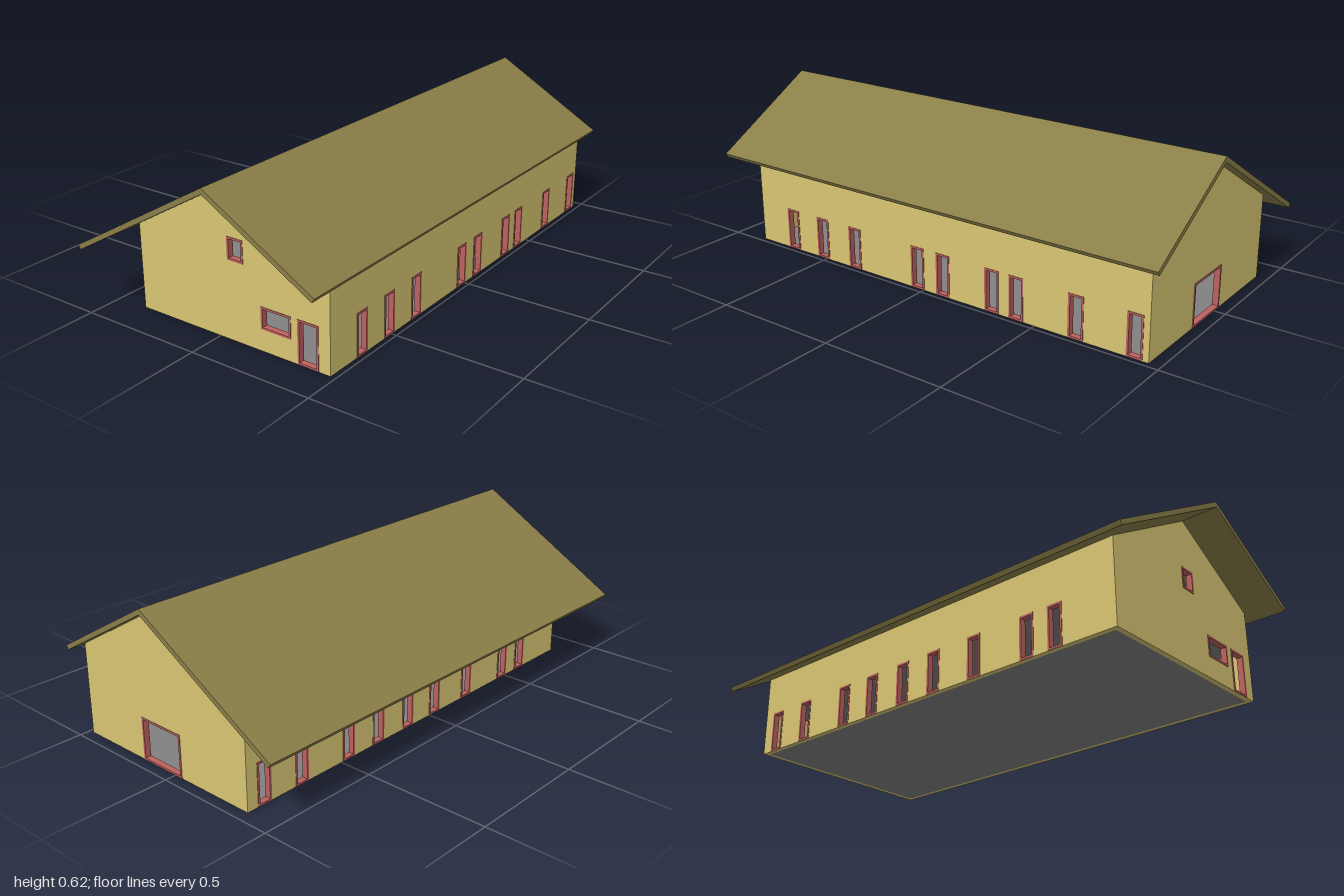
import * as THREE from 'three';

const T = 0.02; // wall thickness
const X0 = -0.37, X1 = 0.48, Z0 = -0.955, Z1 = 0.855; // outer faces of the walls
const RIDGE_X = 0.08, RIDGE_Y = 0.595, PITCH = 0.578;

const mat = (color) => new THREE.MeshStandardMaterial({ color, side: THREE.DoubleSide });
const wallMat = mat(0xd9c673);
const roofMat = mat(0x8a7e48);
const frameMat = mat(0xbd625f);
const floorMat = mat(0x808080);

const roofUnder = (x) => RIDGE_Y - PITCH * Math.abs(x - RIDGE_X);

const polygon = (points) => new THREE.Shape(points.map(([x, y]) => new THREE.Vector2(x, y)));

function rectPath([u0, u1, v0, v1]) {
  return polygon([[u0, v0], [u1, v0], [u1, v1], [u0, v1]]);
}

function extrude(shape, depth, material, name) {
  const geo = new THREE.ExtrudeGeometry(shape, { depth, bevelEnabled: false });
  const mesh = new THREE.Mesh(geo, material);
  mesh.name = name;
  return mesh;
}

// A wall with rectangular openings [u0, u1, v0, v1], each lined with a frame
function wallWithOpenings(outline, openings, name) {
  const group = new THREE.Group();
  group.name = name;
  const shape = polygon(outline);
  const w = 0.008;
  const out = 0.002;
  for (const o of openings) {
    shape.holes.push(rectPath(o));
    const ring = rectPath(o);
    ring.holes.push(rectPath([o[0] + w, o[1] - w, o[2] + w, o[3] - w]));
    const frame = extrude(ring, T + 2 * out, frameMat, 'openingFrame');
    frame.position.z = -out;
    group.add(frame);
  }
  group.add(extrude(shape, T, wallMat, name + 'Panel'));
  return group;
}

function slab(y0, y1, name) {
  const geo = new THREE.BoxGeometry(X1 - X0 - 2 * T, y1 - y0, Z1 - Z0 - 2 * T);
  const mesh = new THREE.Mesh(geo, floorMat);
  mesh.position.set((X0 + X1) / 2, (y0 + y1) / 2, (Z0 + Z1) / 2);
  mesh.name = name;
  return mesh;
}

export function createModel() {
  const house = new THREE.Group();
  house.name = 'house';

  // Gable walls
  const gable = [[X0, 0], [X1, 0], [X1, roofUnder(X1)], [RIDGE_X, RIDGE_Y], [X0, roofUnder(X0)]];
  const front = wallWithOpenings(gable, [
    [0.345, 0.432, 0.001, 0.17], // door
    [0.188, 0.317, 0.085, 0.17], // wide window
    [0.047, 0.117, 0.305, 0.392], // attic window
  ], 'frontWall');
  front.position.z = Z1 - T;
  const back = wallWithOpenings(gable, [[-0.037, 0.17, 0.001, 0.17]], 'backWall');
  back.position.z = Z0;
  house.add(front, back);

  // Long side walls, with a row of narrow doors given by their rear edges
  const sides = [
    ['leftWall', X1, X1,
      [0.646, 0.483, 0.312, -0.004, -0.124, -0.347, -0.453, -0.701, -0.931]],
    ['rightWall', X0 + T, X0,
      [0.57, 0.446, 0.2, -0.002, -0.163, -0.332, -0.492, -0.73, -0.907]],
  ];
  for (const [name, x, outerX, doors] of sides) {
    const h = roofUnder(outerX);
    const wall = wallWithOpenings(
      [[Z0 + T, 0], [Z1 - T, 0], [Z1 - T, h], [Z0 + T, h]],
      doors.map((z) => [z, z + 0.062, 0.001, 0.168]), name);
    wall.rotation.y = -Math.PI / 2;
    wall.position.x = x;
    house.add(wall);
  }

  // Ground floor and attic floor
  house.add(slab(0, 0.006, 'groundFloor'), slab(0.2, 0.215, 'atticFloor'));

  // Roof: two slopes with square-cut eaves and an off-centre ridge
  const roof = extrude(polygon([
    [-0.535, 0.261], [-0.525, 0.245], [RIDGE_X, RIDGE_Y], [0.521, 0.341],
    [0.531, 0.357], [RIDGE_X, 0.617],
  ]), 2, roofMat, 'roof');
  roof.position.z = -1;
  house.add(roof);

  return house;
}
